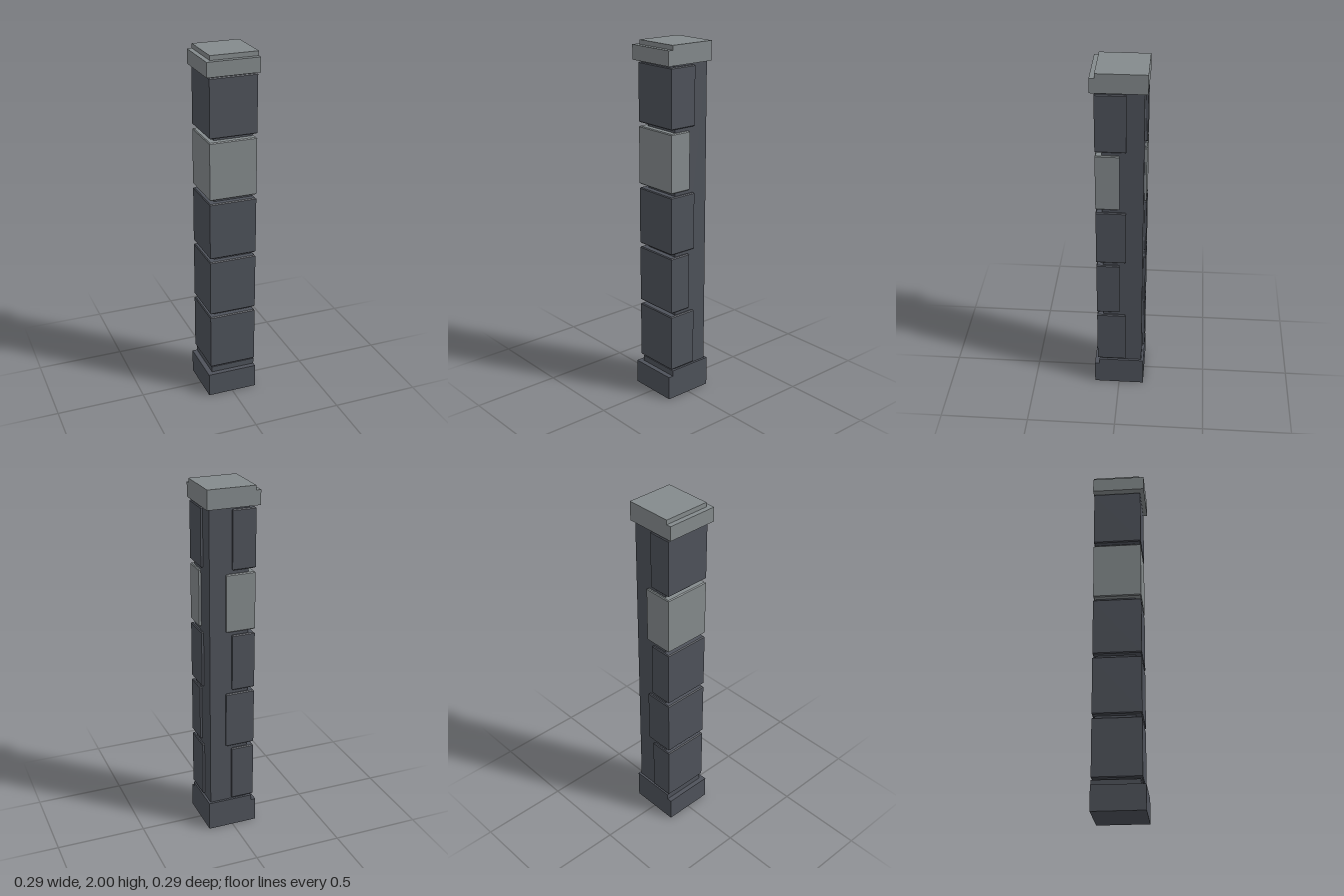
import * as THREE from 'three';

const darkStone = new THREE.MeshStandardMaterial({ name: 'dark slate stone', color: 0x4e525a });
const paleStone = new THREE.MeshStandardMaterial({ name: 'pale grey stone', color: 0x848a8c });

// Box given by its limits on each axis
function block(name, material, [x0, x1], [y0, y1], [z0, z1]) {
  const geometry = new THREE.BoxGeometry(x1 - x0, y1 - y0, z1 - z0);
  geometry.translate((x0 + x1) / 2, (y0 + y1) / 2, (z0 + z1) / 2);
  const mesh = new THREE.Mesh(geometry, material);
  mesh.name = name;
  return mesh;
}

// L-shaped corner stone with a small bevel; its two arms end at x = armX and z = armZ
function cornerStone(name, material, y0, y1, armX, armZ) {
  const bevel = 0.005, outer = 0.125, side = 0.142;
  const shape = new THREE.Shape([
    [-outer, -outer], [side, -outer], [side, -armZ],
    [armX, -armZ], [armX, side], [-outer, side],
  ].map(([x, y]) => new THREE.Vector2(x, y)));
  const geometry = new THREE.ExtrudeGeometry(shape, {
    depth: y1 - y0 - 2 * bevel,
    bevelEnabled: true,
    bevelThickness: bevel,
    bevelSize: bevel,
    bevelOffset: -bevel,
    bevelSegments: 1,
  });
  geometry.rotateX(-Math.PI / 2);
  geometry.translate(0, y0 + bevel, 0);
  const mesh = new THREE.Mesh(geometry, material);
  mesh.name = name;
  return mesh;
}

export function createModel() {
  const pillar = new THREE.Group();
  pillar.name = 'cornerPillar';

  // Plinth, shaft and cap, stepped on the front and right sides only
  pillar.add(
    block('plinth', darkStone, [-0.143, 0.143], [0, 0.137], [-0.143, 0.143]),
    block('plinthStep', darkStone, [-0.115, 0.143], [0.137, 0.17], [-0.143, 0.115]),
    block('shaft', darkStone, [-0.09, 0.13], [0.17, 1.895], [-0.13, 0.09]),
    block('cap', paleStone, [-0.147, 0.147], [1.895, 1.975], [-0.147, 0.147]),
    block('capStep', paleStone, [-0.12, 0.147], [1.975, 2], [-0.147, 0.12]),
  );

  // Five stones with alternating arm lengths; the fourth is pale
  for (let i = 0; i < 5; i++) {
    const y0 = 0.178 + i * 0.3455;
    const [armX, armZ] = i % 2 ? [0.04, -0.003] : [0.005, -0.038];
    pillar.add(cornerStone(`cornerStone${i + 1}`, i === 3 ? paleStone : darkStone, y0, y0 + 0.325, armX, armZ));
  }
  return pillar;
}
